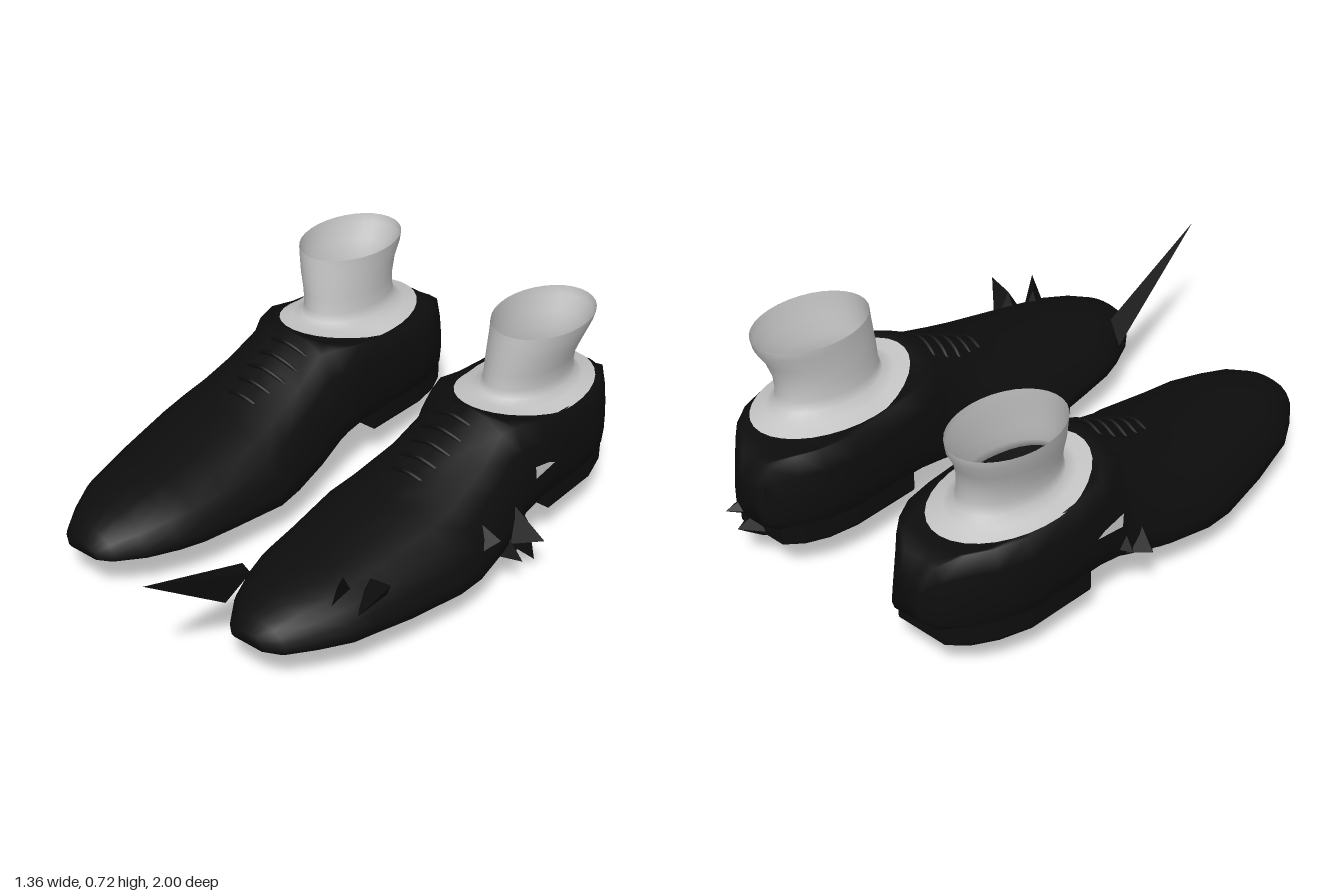
import * as THREE from 'three';
import { ConvexGeometry } from 'three/addons/geometries/ConvexGeometry.js';

const V = (x, y, z) => new THREE.Vector3(x, y, z);

// Skin a list of equal-length closed rings, optionally capped at both ends
function loft(rings, flip, capped) {
  const n = rings[0].length, pos = [], idx = [];
  rings.forEach(r => r.forEach(p => pos.push(p.x, p.y, p.z)));
  const tri = (a, b, c) => (flip ? idx.push(a, c, b) : idx.push(a, b, c));
  for (let i = 0; i < rings.length - 1; i++) {
    for (let j = 0; j < n; j++) {
      const a = i * n + j, b = i * n + (j + 1) % n;
      tri(a, b, a + n);
      tri(b, b + n, a + n);
    }
  }
  if (capped) {
    [0, rings.length - 1].forEach((k, end) => {
      const c = rings[k].reduce((s, p) => s.add(p), V(0, 0, 0)).divideScalar(n);
      const ci = pos.length / 3;
      pos.push(c.x, c.y, c.z);
      for (let j = 0; j < n; j++) {
        const a = k * n + j, b = k * n + (j + 1) % n;
        end ? tri(ci, a, b) : tri(ci, b, a);
      }
    });
  }
  const g = new THREE.BufferGeometry();
  g.setAttribute('position', new THREE.Float32BufferAttribute(pos, 3));
  g.setIndex(idx);
  g.computeVertexNormals();
  return g;
}

// Half cross-sections from the sole centre to the top centre: [width, height]
const FORE = [[0, 0], [.85, 0], [1, .1], [.98, .25], [.92, .45], [.8, .68], [.6, .87], [.3, .97], [0, 1]];
const REAR = [[0, 0], [.85, 0], [.97, .1], [1, .3], [1, .5], [.96, .75], [.87, 1], [.7, .93], [0, .85]];
const BLOCK = [[0, 0], [.93, 0], [.95, .1], [.95, 1], [0, 1]];

// Shoe stations, toe to heel: z, outer x, inner x, bottom, top, share of rear section
const STATIONS = [
  [.715, -.43, -.30, .15, .19, 0], [.68, -.48, -.26, .14, .225, 0], [.6, -.535, -.20, .135, .26, 0],
  [.5, -.59, -.155, .13, .285, 0], [.42, -.61, -.13, .127, .30, 0], [.3, -.64, -.115, .12, .32, 0],
  [.1, -.675, -.09, .112, .36, 0], [0, -.675, -.105, .11, .39, 0], [-.15, -.65, -.135, .12, .45, 0],
  [-.27, -.625, -.155, .15, .52, 0], [-.31, -.615, -.155, .16, .51, .5], [-.4, -.612, -.155, .175, .485, 1],
  [-.5, -.61, -.155, .18, .465, 1], [-.7, -.60, -.155, .18, .45, 1], [-.8, -.565, -.175, .18, .45, 1],
  [-.87, -.52, -.21, .18, .45, .9], [-.93, -.46, -.26, .19, .42, .4], [-.965, -.41, -.29, .21, .36, 0],
];

function ring([z, x0, x1, y0, y1, w], a, b, X) {
  const c = (x0 + x1) / 2, h = (x1 - x0) / 2;
  const half = a.map((p, i) => [p[0] + (b[i][0] - p[0]) * w, p[1] + (b[i][1] - p[1]) * w]);
  const at = (u, v) => V(X(c + u * h), y0 + v * (y1 - y0), z);
  return [...half.map(p => at(-p[0], p[1])), ...half.slice(1, -1).reverse().map(p => at(p[0], p[1]))];
}

// Sock rings, top to collar: y, x min, x max, z back, z front
const SOCK = [
  [.72, -.565, -.275, -.825, -.415], [.69, -.558, -.277, -.82, -.412], [.64, -.543, -.28, -.79, -.407],
  [.58, -.522, -.281, -.772, -.403], [.53, -.515, -.28, -.772, -.4], [.495, -.52, -.272, -.78, -.39],
  [.475, -.545, -.24, -.81, -.35], [.458, -.582, -.2, -.867, -.295],
];

export function createModel() {
  const model = new THREE.Group();
  const black = new THREE.MeshStandardMaterial({ color: 0x0d0d0d });
  black.name = 'black leather';
  const grey = new THREE.MeshStandardMaterial({ color: 0xc4c4c4, side: THREE.DoubleSide });
  grey.name = 'light grey sock';

  const add = (parent, name, geo, mat) => {
    const m = new THREE.Mesh(geo, mat);
    m.name = name;
    parent.add(m);
  };

  // Spike from a small triangular base to a tip
  const spike = (parent, tip, base, r) => {
    const [x, y, z] = base;
    add(parent, 'spike', new ConvexGeometry([
      V(x, y - r * .6, z - r), V(x, y - r * .6, z + r), V(x, y + r, z), V(x + .03 * Math.sign(.36 - Math.abs(x)) * Math.sign(x), y, z), V(...tip),
    ]), black);
  };

  for (const left of [false, true]) {
    const shoe = new THREE.Group();
    shoe.name = left ? 'leftShoe' : 'rightShoe';
    model.add(shoe);
    const X = x => (left ? -x - .035 : x);

    add(shoe, 'upper', loft(STATIONS.map(s => ring(s, FORE, REAR, X)), left, true), black);

    // Heel block follows the plan of the shoe
    const heel = [[-.46, -.61, -.155], [-.7, -.60, -.155], [-.8, -.565, -.175], [-.87, -.52, -.21], [-.92, -.46, -.26]]
      .map(([z, a, b]) => ring([z, a, b, .13, .24, 0], BLOCK, BLOCK, X));
    add(shoe, 'heel', loft(heel, left, true).toNonIndexed(), black);
    shoe.children.at(-1).geometry.computeVertexNormals();

    // Sock: an open tube flaring out to the collar, raised at the instep
    const sock = SOCK.map(([y, x0, x1, z0, z1], k) => Array.from({ length: 32 }, (_, i) => {
      const a = i / 32 * Math.PI * 2;
      const z = (z0 + z1) / 2 + Math.sin(a) * (z1 - z0) / 2;
      const lift = k > 4 ? Math.max(0, z + .52) * .22 * (k - 4) / 3 : 0;
      return V(X((x0 + x1) / 2 + Math.cos(a) * (x1 - x0) / 2), y + lift, z);
    }));
    add(shoe, 'sock', loft(sock, left, false), grey);

    // Laces across the instep
    for (let i = 0; i < 5; i++) {
      const z = -.23 + i * .055, y = .5 - i * .026;
      const path = new THREE.CatmullRomCurve3([
        V(X(-.48), y - .045, z - .015), V(X(-.43), y - .015, z), V(X(-.37), y + .002, z + .008),
        V(X(-.31), y - .015, z), V(X(-.27), y - .045, z - .015)]);
      add(shoe, 'lace', new THREE.TubeGeometry(path, 12, .007, 6), black);
    }

    // Small light opening on the outer side
    const patch = new THREE.BufferGeometry();
    patch.setAttribute('position', new THREE.Float32BufferAttribute(
      [X(-.618), .355, -.34, X(-.62), .31, -.345, X(-.615), .32, -.45, X(-.615), .335, -.42], 3));
    patch.setIndex([0, 1, 2, 0, 2, 3]);
    patch.computeVertexNormals();
    add(shoe, 'sidePatch', patch, grey);
  }

  // Spikes: tip, base centre, base size
  const [right, left] = model.children;
  [
    [[-.58, .085, -.07], [-.57, .14, -.07], .06],
    [[-.675, .2, -.27], [-.6, .22, -.25], .06],
    [[-.65, .22, -.33], [-.59, .24, -.31], .04],
  ].forEach(s => spike(right, ...s));
  [
    [[.525, 0, -.34], [.55, .16, -.30], .065],
    [[.625, .045, -.3], [.58, .17, -.27], .06],
    [[.68, .155, -.27], [.57, .2, -.23], .08],
    [[.65, .1, -.2], [.57, .18, -.17], .06],
    [[.655, .25, -.07], [.58, .22, -.06], .07],
    [[.615, .33, .41], [.53, .24, .4], .07],
    [[.5, .35, .49], [.47, .24, .46], .07],
    [[.02, .18, -.04], [.11, .17, -.04], .08],
    [[.03, .16, .08], [.1, .15, .09], .07],
    [[.065, .115, .2], [.12, .16, .2], .06],
    [[.21, .09, .46], [.22, .15, .44], .07],
    [[.58, .08, -.07], [.55, .14, -.07], .06],
  ].forEach(s => spike(left, ...s));

  // Ragged back of the left heel
  [[.2, .32, -.98], [.39, .22, -1], [.38, .14, -.97]].forEach(([x, y, z]) =>
    add(left, 'spike', new ConvexGeometry([V(x, y, z), V(.25, y, -.88), V(.42, y, -.88), V(.34, y + .07, -.9), V(.32, y - .02, -.92)]), black));

  // Long thin spike at the toe
  add(left, 'toeSpike', new ConvexGeometry(
    [V(.205, .455, 1), V(.11, .22, .5), V(.2, .21, .67), V(.2, .26, .56)]), black);

  return model;
}
